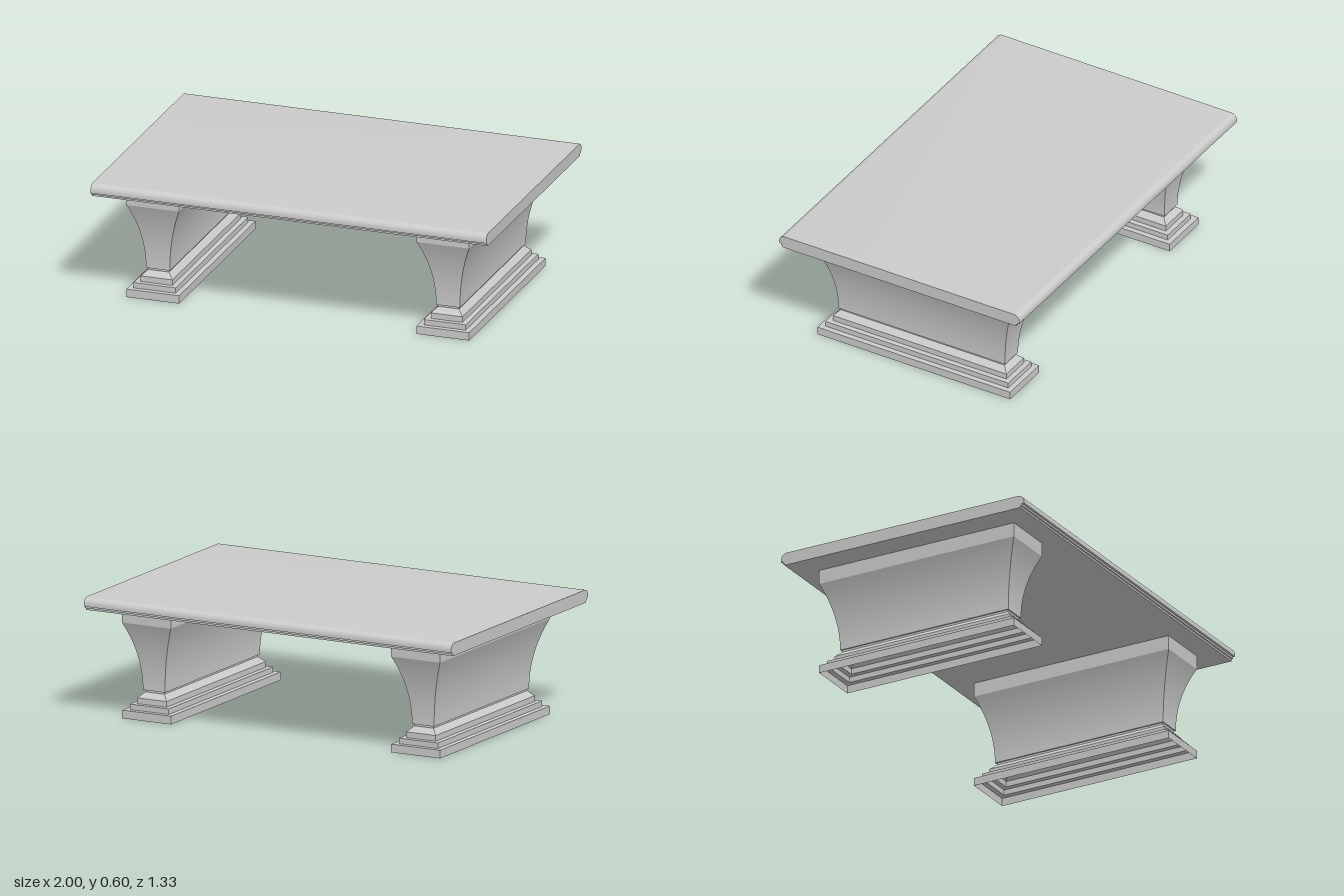
import * as THREE from 'three';
import { toCreasedNormals } from 'three/addons/utils/BufferGeometryUtils.js';

const material = new THREE.MeshStandardMaterial({ color: 0xcccccc, side: THREE.DoubleSide });
const CREASE = 0.35;
const HALF_X = 0.133, HALF_Z = 0.535; // outer half size of a leg

// Stacks mitred rectangles, each given as [inset from the outer size, height]
function rectLoft(profile) {
  const rings = profile.map(([inset, y]) => {
    const x = HALF_X - inset, z = HALF_Z - inset;
    return [[x, y, z], [x, y, -z], [-x, y, -z], [-x, y, z]];
  });
  const pos = [];
  for (let i = 0; i < rings.length - 1; i++) {
    for (let k = 0; k < 4; k++) {
      const n = (k + 1) % 4;
      const a = rings[i][k], b = rings[i][n], c = rings[i + 1][n], d = rings[i + 1][k];
      pos.push(...a, ...b, ...c, ...a, ...c, ...d);
    }
  }
  const geo = new THREE.BufferGeometry();
  geo.setAttribute('position', new THREE.Float32BufferAttribute(pos, 3));
  return toCreasedNormals(geo, CREASE);
}

function part(name, geo) {
  const mesh = new THREE.Mesh(geo, material);
  mesh.name = name;
  return mesh;
}

// Slab with stepped, rounded long edges
function topGeometry() {
  const s = new THREE.Shape();
  s.moveTo(-0.648, 0.537);
  s.lineTo(0.648, 0.537);
  s.lineTo(0.648, 0.547);
  s.lineTo(0.656, 0.547);
  s.lineTo(0.656, 0.557);
  s.lineTo(0.667, 0.557);
  s.lineTo(0.667, 0.568);
  s.absarc(0.635, 0.568, 0.032, 0, Math.PI / 2);
  s.lineTo(-0.635, 0.6);
  s.absarc(-0.635, 0.568, 0.032, Math.PI / 2, Math.PI);
  s.lineTo(-0.667, 0.557);
  s.lineTo(-0.656, 0.557);
  s.lineTo(-0.656, 0.547);
  s.lineTo(-0.648, 0.547);
  const geo = new THREE.ExtrudeGeometry(s, { depth: 2, bevelEnabled: false, curveSegments: 8 });
  geo.translate(0, 0, -1).rotateY(Math.PI / 2);
  return toCreasedNormals(geo, CREASE);
}

export function createModel() {
  const group = new THREE.Group();
  group.name = 'table';
  group.add(part('tableTop', topGeometry()));

  // Stepped plinth, open below, ending in a chamfer and a short neck
  const plinth = rectLoft([
    [0, 0], [0, 0.04], [0.027, 0.04], [0.027, 0.067], [0.053, 0.067],
    [0.053, 0.095], [0.08, 0.122], [0.08, 0.132], [0.073, 0.132],
  ]);

  // Body flaring outward along a circular arc, with a straight band on top
  const flare = 0.073, y0 = 0.132, rise = 0.335;
  const r = (rise * rise + flare * flare) / (2 * flare);
  const bodyProfile = [];
  for (let i = 0; i <= 12; i++) {
    const a = Math.asin(rise / r) * i / 12;
    bodyProfile.push([flare - r * (1 - Math.cos(a)), y0 + r * Math.sin(a)]);
  }
  bodyProfile.push([0, 0.537]);
  const body = rectLoft(bodyProfile);

  for (const side of [1, -1]) {
    const leg = new THREE.Group();
    leg.name = side > 0 ? 'leftLeg' : 'rightLeg';
    leg.add(part('plinth', plinth), part('flaredBody', body));
    leg.position.x = side * 0.733;
    group.add(leg);
  }
  return group;
}
